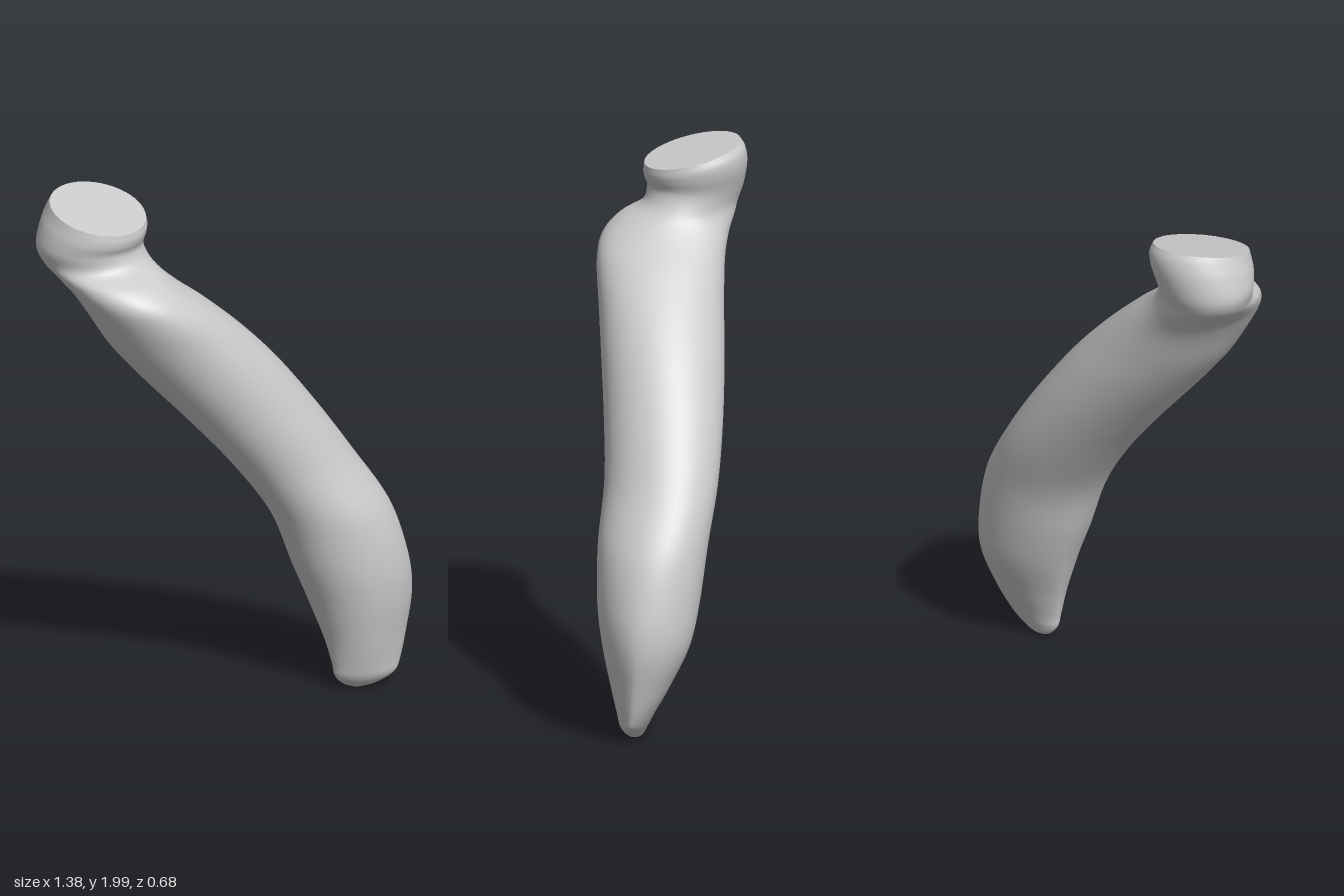
import * as THREE from 'three';

// Horizontal sections: y, xMin, xMax, zMin, zMax, skew, edge sharpness
const SECTIONS = [
  [0.00, 0.47, 0.50, -0.12, -0.10, -0.30, 0.0],
  [0.015, 0.43, 0.56, -0.14, -0.08, -0.30, 0.1],
  [0.05, 0.40, 0.62, -0.165, -0.055, -0.35, 0.2],
  [0.10, 0.39, 0.642, -0.195, -0.04, -0.35, 0.25],
  [0.20, 0.36, 0.663, -0.25, -0.015, -0.25, 0.3],
  [0.35, 0.30, 0.685, -0.315, 0.02, -0.15, 0.2],
  [0.50, 0.24, 0.67, -0.335, 0.05, -0.12, 0.08],
  [0.70, 0.165, 0.605, -0.34, 0.075, -0.12, 0],
  [0.90, 0.03, 0.475, -0.33, 0.105, -0.15, 0],
  [1.10, -0.135, 0.345, -0.29, 0.165, -0.15, 0],
  [1.30, -0.31, 0.205, -0.23, 0.235, -0.13, 0],
  [1.45, -0.43, 0.08, -0.175, 0.288, -0.08, 0],
  [1.58, -0.51, -0.05, -0.13, 0.33, 0.03, 0],
  [1.66, -0.565, -0.15, -0.11, 0.338, 0.12, 0],
  [1.72, -0.625, -0.225, -0.105, 0.30, 0.15, 0],
  [1.765, -0.67, -0.275, -0.105, 0.23, 0.06, 0],
  [1.82, -0.69, -0.30, -0.122, 0.222, 0, 0],
  [1.88, -0.675, -0.29, -0.142, 0.23, 0, 0],
  [1.92, -0.655, -0.285, -0.142, 0.23, 0, 0],
  [1.95, -0.64, -0.29, -0.125, 0.225, 0, 0],
];
const SIDES = 48;
const ROWS = 114;

function buildGeometry(points, index) {
  const geometry = new THREE.BufferGeometry();
  geometry.setAttribute('position', new THREE.Float32BufferAttribute(points, 3));
  geometry.setIndex(index);
  geometry.computeVertexNormals();
  return geometry;
}

// Smooth interpolation of one column of the section table
function column(pick) {
  return new THREE.CatmullRomCurve3(SECTIONS.map(pick), false, 'catmullrom', 0.5);
}

export function createModel() {
  const group = new THREE.Group();
  const material = new THREE.MeshStandardMaterial({ color: 0xcccccc });

  const centres = column(s => new THREE.Vector3((s[1] + s[2]) / 2, s[0], (s[3] + s[4]) / 2));
  const extents = column(s => new THREE.Vector3((s[2] - s[1]) / 2, (s[4] - s[3]) / 2, s[5]));

  // Curved body, wedge-like tip and neck lofted as one skin
  const points = [];
  const index = [];
  for (let r = 0; r <= ROWS; r++) {
    const t = r / ROWS;
    const c = centres.getPoint(t);
    const e = extents.getPoint(t);
    const f = t * (SECTIONS.length - 1);
    const i = Math.min(Math.floor(f), SECTIONS.length - 2);
    const sharp = THREE.MathUtils.lerp(SECTIONS[i][6], SECTIONS[i + 1][6], f - i);
    // The rim leans forward and sideways
    const tilt = THREE.MathUtils.smoothstep(c.y, 1.8, 1.95);
    for (let k = 0; k < SIDES; k++) {
      const a = k / SIDES * Math.PI * 2;
      const sin = Math.sin(a);
      const dx = e.x * Math.cos(a);
      const lens = sin * Math.pow(Math.abs(sin), sharp);
      const dz = e.y * (lens * Math.sqrt(1 - e.z * e.z) + Math.cos(a) * e.z);
      points.push(c.x + dx, c.y - tilt * (0.17 * dx + 0.19 * dz), c.z + dz);
      if (r < ROWS) {
        const p = r * SIDES + k;
        const q = r * SIDES + (k + 1) % SIDES;
        index.push(p, p + SIDES, q, q, p + SIDES, q + SIDES);
      }
    }
  }

  // Close the lower tip
  const tip = points.length / 3;
  points.push(0.485, 0, -0.11);
  for (let k = 0; k < SIDES; k++) index.push(tip, k, (k + 1) % SIDES);
  const body = new THREE.Mesh(buildGeometry(points, index), material);
  body.name = 'curvedBody';
  group.add(body);

  // Flat cut face on the neck, kept separate for a crisp rim
  const rim = points.slice(ROWS * SIDES * 3, (ROWS + 1) * SIDES * 3);
  const end = centres.getPoint(1);
  rim.push(end.x, end.y, end.z);
  const fan = [];
  for (let k = 0; k < SIDES; k++) fan.push(SIDES, (k + 1) % SIDES, k);
  const cap = new THREE.Mesh(buildGeometry(rim, fan), material);
  cap.name = 'neckCutFace';
  group.add(cap);

  return group;
}
